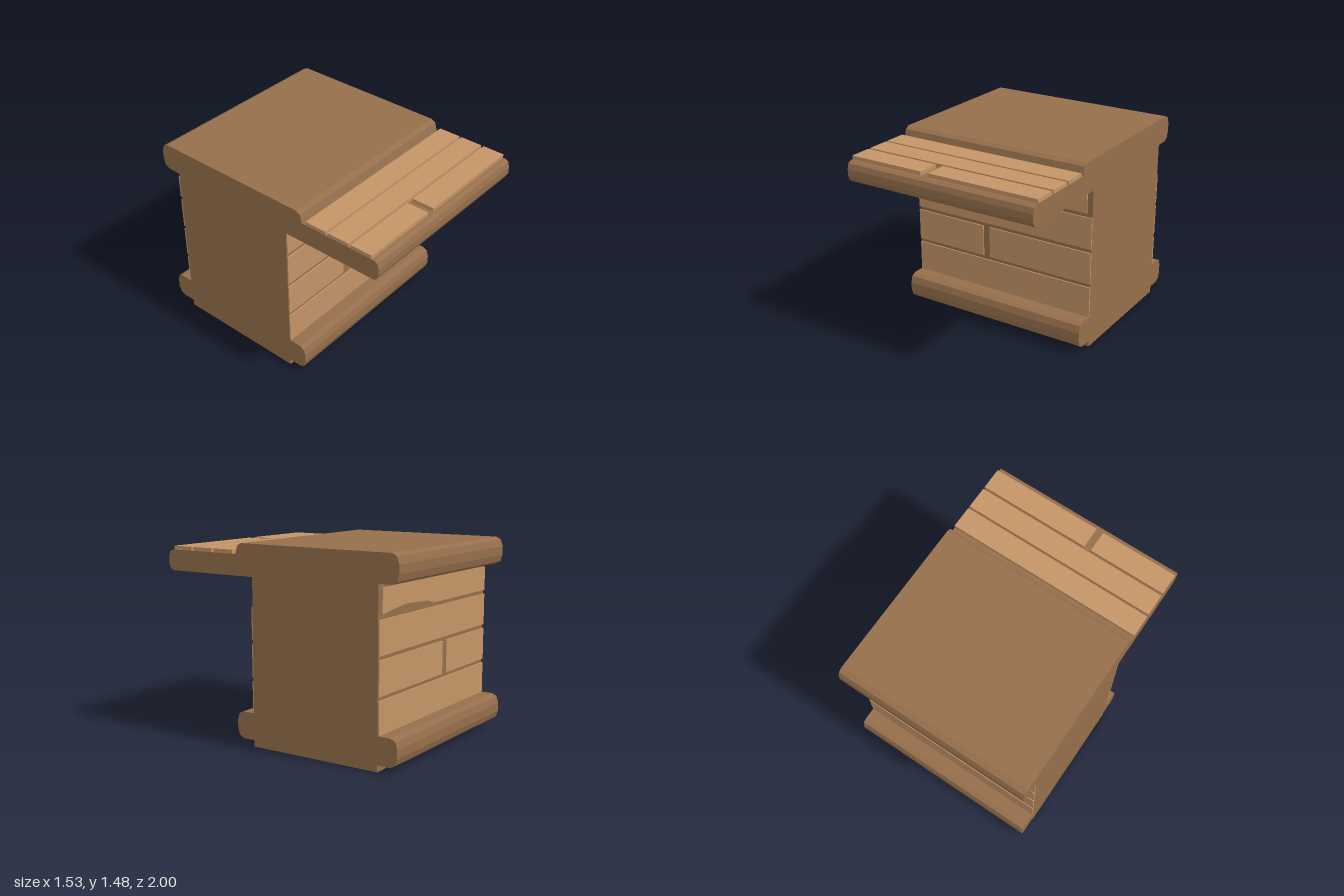
import * as THREE from 'three';

const HALF = 0.765; // half width along x

export function createModel() {
  const model = new THREE.Group();
  model.name = 'woodenCounter';

  const darkWood = new THREE.MeshStandardMaterial({ color: 0x966f4c });
  darkWood.name = 'dark wood';
  const lightWood = new THREE.MeshStandardMaterial({ color: 0xc49466 });
  lightWood.name = 'light wood';

  const add = (name, geometry, material) => {
    const mesh = new THREE.Mesh(geometry, material);
    mesh.name = name;
    model.add(mesh);
    return mesh;
  };

  // Body with rounded base trim, cap and shelf: one [z, y] outline run along x
  const outline = [
    [0.205, 0], [0.205, 0.048],
    // front base trim
    [0.305, 0.048], [0.34, 0.067], [0.357, 0.115], [0.358, 0.18], [0.343, 0.232], [0.305, 0.25],
    [0.205, 0.25], [0.205, 1.24],
    // shelf
    [0.965, 1.24], [0.985, 1.255], [1, 1.29], [1, 1.34], [0.988, 1.38], [0.96, 1.395],
    [0.355, 1.395],
    // cap
    [0.338, 1.455], [0.305, 1.475], [-0.945, 1.475], [-0.983, 1.455], [-1, 1.405],
    [-1, 1.34], [-0.985, 1.29], [-0.945, 1.27],
    [-0.845, 1.27], [-0.845, 0.25],
    // back base trim
    [-0.945, 0.25], [-0.985, 0.232], [-1, 0.18], [-1, 0.115], [-0.983, 0.067], [-0.945, 0.048],
    [-0.845, 0.048], [-0.845, 0],
  ];
  const profile = new THREE.Shape(outline.map(([z, y]) => new THREE.Vector2(-z, y)));
  const body = new THREE.ExtrudeGeometry(profile, { depth: 2 * HALF, bevelEnabled: false });
  body.translate(0, 0, -HALF).rotateY(Math.PI / 2);
  add('body', body, darkWood);

  // Box given by its lower and upper corner
  const plank = (name, x0, x1, y0, y1, z0, z1) => {
    const geometry = new THREE.BoxGeometry(x1 - x0, y1 - y0, z1 - z0);
    geometry.translate((x0 + x1) / 2, (y0 + y1) / 2, (z0 + z1) / 2);
    add(name, geometry, lightWood);
  };

  // Wall planks on the front and the back: [x0, x1, y0, y1]
  const rows = [
    [-HALF, HALF, 0.25, 0.487],
    [-HALF, -0.16, 0.515, 0.76],
    [-0.102, HALF, 0.515, 0.76],
    [-HALF, HALF, 0.79, 1.03],
  ];
  for (const [x0, x1, y0, y1] of rows) {
    plank('frontPlank', x0, x1, y0, y1, 0.205, 0.215);
    plank('backPlank', x0, x1, y0, y1, -0.857, -0.845);
  }
  plank('frontTopPlank', -HALF, 0.722, 1.06, 1.24, 0.205, 0.215);

  // Back top plank with a chipped lower edge
  const chipped = new THREE.Shape([
    [-HALF, 1.06], [0.02, 1.06], [0.14, 1.085], [0.28, 1.092], [0.42, 1.1],
    [0.58, 1.085], [0.73, 1.065], [0.73, 1.24], [-HALF, 1.24],
  ].map(([x, y]) => new THREE.Vector2(x, y)));
  const chippedPlank = new THREE.ExtrudeGeometry(chipped, { depth: 0.012, bevelEnabled: false });
  chippedPlank.translate(0, 0, -0.857);
  add('backTopPlank', chippedPlank, lightWood);

  // Planks lying on the shelf: [x0, x1, z0, z1]
  const boards = [
    [-HALF, HALF, 0.387, 0.56],
    [-HALF, HALF, 0.578, 0.752],
    [-HALF, -0.162, 0.772, 0.942],
    [-0.102, HALF, 0.772, 0.942],
  ];
  for (const [x0, x1, z0, z1] of boards) plank('shelfPlank', x0, x1, 1.395, 1.424, z0, z1);

  return model;
}
